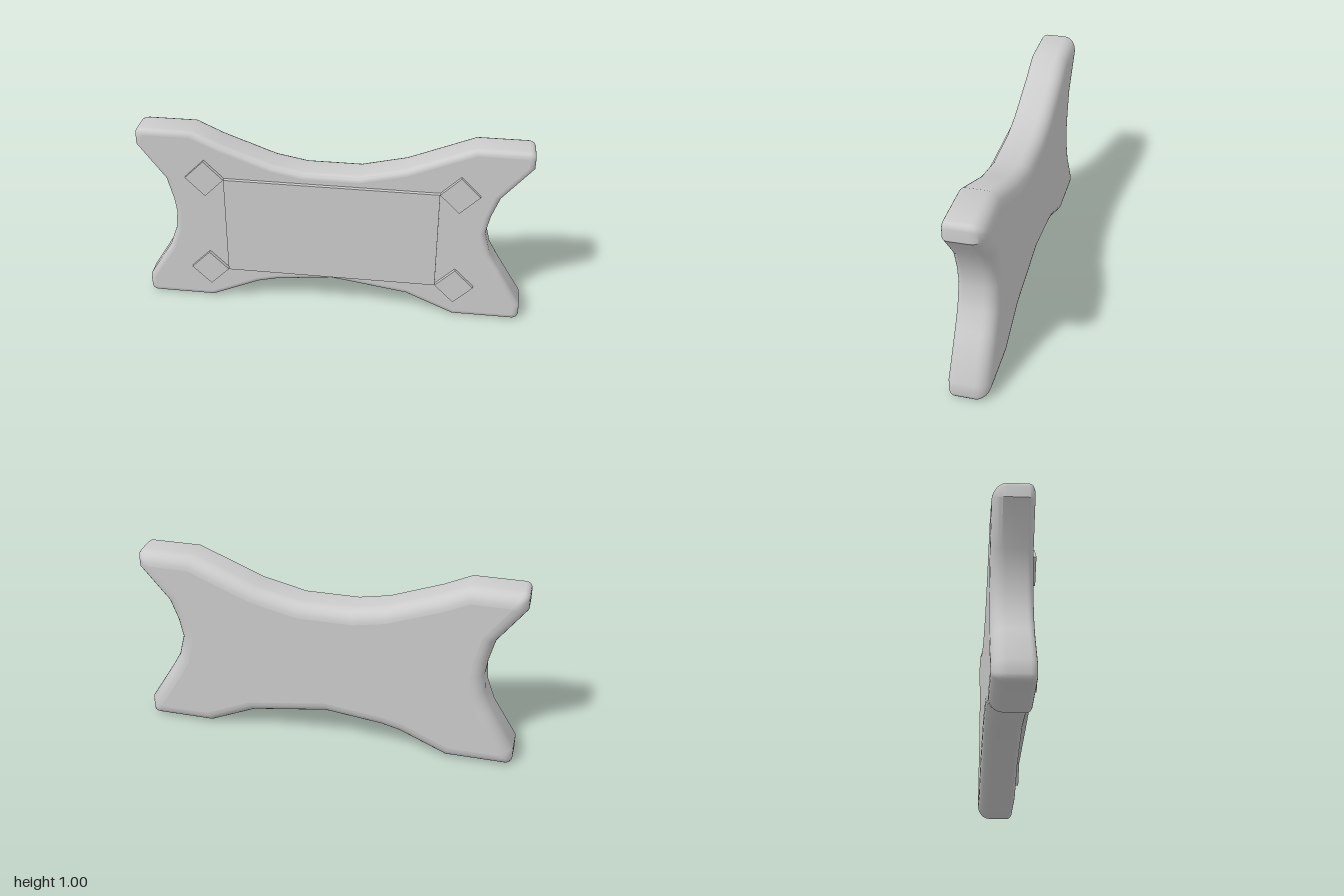
import * as THREE from 'three';
import { toCreasedNormals } from 'three/addons/utils/BufferGeometryUtils.js';

const FRONT = 0.09, BACK = -0.11;

// Slab outline, counter-clockwise seen from the front
const outline = [
  [1, 0], [1, 0.1], [0.87, 0.31], [0.82, 0.4], [0.79, 0.52], [0.81, 0.62], [0.85, 0.73], [1, 0.91],
  [1, 1], [0.71, 1], [0.37, 0.86], [0.14, 0.805], [-0.14, 0.805], [-0.3, 0.835], [-0.57, 0.935], [-0.71, 1],
  [-1, 1], [-1, 0.91], [-0.86, 0.72], [-0.83, 0.6], [-0.82, 0.52], [-0.83, 0.42], [-0.87, 0.31], [-1, 0.1],
  [-1, 0], [-0.65, 0], [-0.4, 0.11], [-0.3, 0.135], [0, 0.17], [0.4, 0.11], [0.65, 0],
].map(([x, y]) => new THREE.Vector2(x, y));

// Outline moved inwards by d, with the four square corners rounded
function insetLoop(d) {
  const n = outline.length, loop = [];
  outline.forEach((p, i) => {
    const a = p.clone().sub(outline[(i + n - 1) % n]).normalize();
    const b = outline[(i + 1) % n].clone().sub(p).normalize();
    const na = new THREE.Vector2(-a.y, a.x), nb = new THREE.Vector2(-b.y, b.x);
    const miter = na.clone().add(nb).divideScalar(1 + na.dot(nb));
    const q = p.clone().addScaledVector(miter, d);
    if (i % 8 !== 0) { loop.push(q); return; }
    const r = 0.03 * (1 - d / 0.08);
    const centre = q.clone().addScaledVector(miter, r);
    for (let k = 0; k <= 4; k++) {
      const t = (k / 4) * Math.PI / 2;
      loop.push(centre.clone().addScaledVector(na, -r * Math.cos(t)).addScaledVector(nb, -r * Math.sin(t)));
    }
  });
  return loop;
}

// Bevel steps as [inset, z]: wide round at the back, narrow round at the front
function bevelSteps() {
  const steps = [], n = 6, rb = 0.07, rf = 0.03;
  for (let i = 0; i <= n; i++) {
    const t = (i / n) * Math.PI / 2;
    steps.push([rb * (1 - Math.sin(t)), BACK + rb * (1 - Math.cos(t))]);
  }
  for (let i = 0; i <= n; i++) {
    const t = (i / n) * Math.PI / 2;
    steps.push([rf * (1 - Math.cos(t)), FRONT - rf * (1 - Math.sin(t))]);
  }
  return steps;
}

function wallGeometry(steps) {
  const pos = [], index = [];
  let m = 0;
  steps.forEach(([d, z], s) => {
    const loop = insetLoop(d);
    m = loop.length;
    loop.forEach((p, i) => {
      pos.push(p.x, p.y, z);
      if (s === 0) return;
      const j = (i + 1) % m, lo = (s - 1) * m, hi = s * m;
      index.push(lo + i, lo + j, hi + j, lo + i, hi + j, hi + i);
    });
  });
  const g = new THREE.BufferGeometry();
  g.setAttribute('position', new THREE.Float32BufferAttribute(pos, 3));
  g.setIndex(index);
  return toCreasedNormals(g, 0.6);
}

export function createModel() {
  const model = new THREE.Group();
  const grey = new THREE.MeshStandardMaterial({ color: 0xcccccc });
  const add = (geometry, name, parent = model) => {
    const mesh = new THREE.Mesh(geometry, grey);
    mesh.name = name;
    parent.add(mesh);
    return mesh;
  };

  // Slab: rounded rim plus flat front and back
  const slab = new THREE.Group();
  slab.name = 'slab';
  model.add(slab);
  const steps = bevelSteps();
  add(wallGeometry(steps), 'rim', slab);
  const frontCap = new THREE.ShapeGeometry(new THREE.Shape(insetLoop(0.03)));
  add(frontCap.translate(0, 0, FRONT), 'frontFace', slab);
  // Mirrored in x, then turned round to face backwards
  const mirrored = insetLoop(0.07).map((p) => new THREE.Vector2(-p.x, p.y)).reverse();
  const backCap = new THREE.ShapeGeometry(new THREE.Shape(mirrored));
  add(backCap.rotateY(Math.PI).translate(0, 0, BACK), 'backFace', slab);

  // Raised panel on the front, sunk a little into the slab
  add(new THREE.BoxGeometry(1.1, 0.55, 0.04), 'frontPanel').position.set(0, 0.475, 0.09);

  // Diamond studs at the panel corners
  const side = 0.1 * Math.SQRT2;
  for (const x of [-0.65, 0.65]) {
    for (const y of [0.2, 0.75]) {
      const stud = add(new THREE.BoxGeometry(side, side, 0.04), 'diamondStud');
      stud.position.set(x, y, 0.09);
      stud.rotation.z = Math.PI / 4;
    }
  }
  return model;
}
